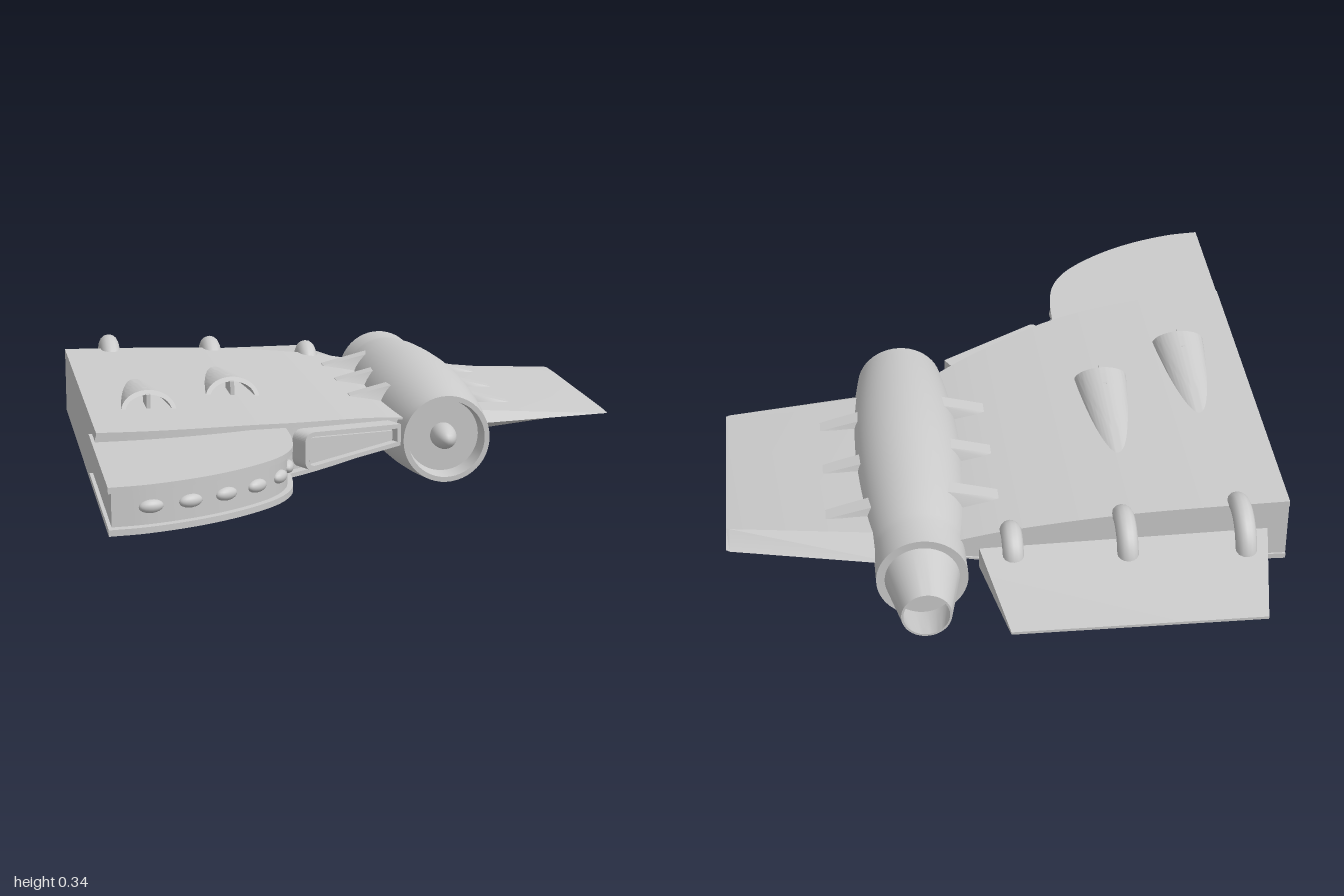
import * as THREE from 'three';
import { toCreasedNormals } from 'three/addons/utils/BufferGeometryUtils.js';

const material = new THREE.MeshStandardMaterial({ color: 0xcccccc, side: THREE.DoubleSide });
const MID = 0.195; // height of the wing's middle plane

export function createModel() {
  const model = new THREE.Group();

  const add = (name, geometry, parent = model) => {
    const mesh = new THREE.Mesh(geometry, material);
    mesh.name = name;
    parent.add(mesh);
    return mesh;
  };

  // Solid through rings of [x, y, z] corners, rings running towards +x,
  // corners running top back, top front, bottom front, bottom back
  const loft = (rings, crease = 0.5) => {
    const pos = [];
    const tri = (a, b, c) => pos.push(...a, ...b, ...c);
    const n = rings[0].length;
    const last = rings[rings.length - 1];
    for (let i = 0; i < rings.length - 1; i++) {
      for (let j = 0; j < n; j++) {
        const k = (j + 1) % n;
        tri(rings[i][j], rings[i][k], rings[i + 1][k]);
        tri(rings[i][j], rings[i + 1][k], rings[i + 1][j]);
      }
    }
    for (let j = 1; j < n - 1; j++) {
      tri(rings[0][0], rings[0][j + 1], rings[0][j]);
      tri(last[0], last[j], last[j + 1]);
    }
    const g = new THREE.BufferGeometry();
    g.setAttribute('position', new THREE.Float32BufferAttribute(pos, 3));
    return toCreasedNormals(g, crease);
  };

  // Main wing: two curved skins over a recessed core
  const edge = new THREE.SplineCurve([
    [-0.79, 0.545], [-0.65, 0.54], [-0.5, 0.52], [-0.35, 0.485],
    [-0.2, 0.435], [0, 0.33], [0.13, 0.255], [0.2, 0.21],
  ].map(p => new THREE.Vector2(...p)));
  const thickness = new THREE.SplineCurve([
    [-0.79, 0.1], [-0.35, 0.088], [0, 0.056], [0.2, 0.02],
  ].map(p => new THREE.Vector2(...p)));
  const halfHeight = x => {
    let t = (x + 0.79) / 0.99;
    for (let i = 0; i < 8; i++) t -= (thickness.getPoint(t).x - x) / 1.1;
    return thickness.getPoint(Math.min(1, Math.max(0, t))).y;
  };
  const wingLayer = (inset, low, high) => {
    const rings = [];
    for (let i = 0; i <= 28; i++) {
      const p = edge.getPoint(i / 28);
      const h = halfHeight(p.x);
      const [yl, yh] = [MID + low(h), MID + high(h)];
      const [zb, zf] = [-0.615 + inset * 0.15, p.y - inset];
      rings.push([[p.x, yh, zb], [p.x, yh, zf], [p.x, yl, zf], [p.x, yl, zb]]);
    }
    return loft(rings);
  };
  add('upperWingSkin', wingLayer(0, h => h * 0.84, h => h));
  add('lowerWingSkin', wingLayer(0, h => -h, h => -h * 0.84));
  add('wingCore', wingLayer(0.035, h => -h * 0.84, h => h * 0.84));

  // Rounded nose shelf: two plates, a recessed wall and a row of oval lamps
  const nosePath = new THREE.CatmullRomCurve3([
    [-0.8, 0.997], [-0.7, 0.985], [-0.55, 0.935], [-0.42, 0.86],
    [-0.32, 0.77], [-0.27, 0.68], [-0.25, 0.57], [-0.245, 0.41],
  ].map(([x, z]) => new THREE.Vector3(x, 0, z)));
  const noseSlab = (scale, y, depth, dx = 0) => {
    const pts = nosePath.getPoints(40).map(p =>
      new THREE.Vector2(-0.8 + (p.x + 0.8) * scale + dx, -(0.41 + (p.z - 0.41) * scale)));
    pts.push(new THREE.Vector2(-0.8 + dx, -0.41));
    const g = new THREE.ExtrudeGeometry(new THREE.Shape(pts), { depth, bevelEnabled: false });
    return toCreasedNormals(g.rotateX(-Math.PI / 2).translate(0, y, 0), 0.5);
  };
  add('upperNosePlate', noseSlab(1, 0.243, 0.017));
  add('lowerNosePlate', noseSlab(1, 0.13, 0.017));
  add('noseWall', noseSlab(0.955, 0.14, 0.11, 0.01));
  const lamps = new THREE.Group();
  lamps.name = 'noseLamps';
  model.add(lamps);
  for (let i = 0; i < 6; i++) {
    const u = 0.12 + i * 0.128;
    const p = nosePath.getPointAt(u);
    const t = nosePath.getTangentAt(u);
    const lamp = add('noseLamp', new THREE.SphereGeometry(1, 20, 12), lamps);
    lamp.scale.set(0.034, 0.018, 0.018);
    lamp.position.set(-0.79 + (p.x + 0.8) * 0.955, MID, 0.41 + (p.z - 0.41) * 0.955);
    lamp.rotation.y = Math.atan2(-t.z, t.x);
  }

  // Tapered intake frame on the slanted leading edge
  const intake = new THREE.Group();
  intake.name = 'intake';
  intake.position.set(-0.225, MID, 0.43);
  intake.rotation.y = 0.477;
  model.add(intake);
  const taper = (inset, Type) => {
    const s = new Type();
    const [x0, x1, a, b] = [inset, 0.35 - inset, 0.055 - inset, 0.032 - inset];
    const r = a * 0.6;
    s.moveTo(x0 + r, -a);
    s.lineTo(x1, -b);
    s.lineTo(x1, b);
    s.lineTo(x0 + r, a);
    s.quadraticCurveTo(x0, a, x0, a - r);
    s.lineTo(x0, r - a);
    s.quadraticCurveTo(x0, -a, x0 + r, -a);
    return s;
  };
  const frame = taper(0, THREE.Shape);
  frame.holes.push(taper(0.012, THREE.Path));
  add('intakeFrame', new THREE.ExtrudeGeometry(frame, { depth: 0.06, bevelEnabled: false }), intake);
  add('intakeBack', new THREE.ExtrudeGeometry(taper(0.004, THREE.Shape), { depth: 0.035, bevelEnabled: false }), intake);
  add('intakeInsert', new THREE.ExtrudeGeometry(taper(0.02, THREE.Shape), { depth: 0.046, bevelEnabled: false }), intake);

  // Engine: barrel body, hollow nozzle and a hub in the front opening
  const engine = new THREE.Group();
  engine.name = 'engine';
  engine.position.set(0.258, 0.168, 0);
  model.add(engine);
  const turned = pts => toCreasedNormals(
    new THREE.LatheGeometry(pts.map(p => new THREE.Vector2(...p)), 48).rotateX(Math.PI / 2), 0.5);
  const barrel = new THREE.SplineCurve([
    [0.129, -0.6], [0.147, -0.47], [0.16, -0.3], [0.165, -0.14], [0.16, 0.02], [0.147, 0.17], [0.13, 0.295],
  ].map(p => new THREE.Vector2(...p))).getPoints(24).map(p => [p.x, p.y]);
  add('engineBody', turned([
    [0, -0.7], [0.129, -0.705], ...barrel, [0.115, 0.295], [0.108, 0.24], [0, 0.24],
  ]), engine);
  add('engineNozzle', turned([[0, -0.74], [0.09, -0.74], [0.064, -0.87], [0.07, -0.87], [0.106, -0.7]]), engine);
  const hub = add('engineHub', new THREE.SphereGeometry(0.038, 24, 16), engine);
  hub.scale.z = 2;
  hub.position.z = 0.245;

  // Outer wing, thinning towards its tip
  const outerRing = (x, back, front, h, y) => [
    [x, y + h, back + 0.1], [x, y + h, front - 0.06], [x, y, front],
    [x, y - h, front - 0.06], [x, y - h, back + 0.1], [x, y, back],
  ];
  add('outerWing', loft([
    outerRing(0.3, -0.665, 0.214, 0.036, 0.188),
    outerRing(0.79, -0.553, 0.137, 0.005, 0.186),
    outerRing(0.8, -0.545, 0.13, 0.002, 0.186),
  ], 0.3));

  // Tapered braces joining the engine to both wings
  const braceRing = (x, z, base, top, w) => [
    [x, top, z - w * 0.7], [x, top, z + w * 0.7], [x, base, z + w], [x, base, z - w],
  ];
  for (const z of [-0.435, -0.21, 0.012]) {
    add('innerBrace', loft([
      braceRing(0.02, z, 0.235, 0.25, 0.03), braceRing(0.17, z, 0.2, 0.285, 0.038),
    ]));
    add('outerBrace', loft([
      braceRing(0.36, z, 0.19, 0.25, 0.038),
      braceRing(0.47, z, 0.19, 0.222, 0.034),
      braceRing(0.55, z, 0.19, 0.2, 0.03),
    ]));
  }

  // Rear flap, wedge shaped, with its ring hinges
  const flapRing = (xFront, xBack, h) => [
    [xBack, MID + 0.004, -1], [xFront, MID + h, -0.66], [xFront, MID + h * 0.7, -0.648],
    [xFront, MID - h * 0.7, -0.648], [xFront, MID - h, -0.66], [xBack, MID - 0.004, -1],
  ];
  add('rearFlap', loft([flapRing(-0.72, -0.66, 0.045), flapRing(0.095, 0.04, 0.032)], 0.3));
  for (const [x, r] of [[-0.645, 0.13], [-0.315, 0.113], [0.003, 0.087]]) {
    const hinge = add('flapHinge', new THREE.TorusGeometry(r - 0.03, 0.03, 14, 40));
    hinge.rotation.y = Math.PI / 2;
    hinge.position.set(x, 0.2, -0.643);
  }

  // Arched fairings that sink into the upper skin towards the rear
  for (const [x, front] of [[-0.615, 0.27], [-0.348, 0.1]]) {
    const arch = new THREE.Shape();
    arch.absellipse(0, 0, 0.08, 0.058, 0, Math.PI, false);
    arch.lineTo(-0.067, 0);
    arch.absellipse(0, 0, 0.067, 0.045, Math.PI, 0, true);
    const g = new THREE.ExtrudeGeometry(arch, { depth: 0.5, steps: 12, curveSegments: 20, bevelEnabled: false });
    const p = g.attributes.position;
    for (let i = 0; i < p.count; i++) {
      const t = 1 - p.getZ(i) / 0.5;
      p.setXYZ(i, p.getX(i) * (1 - 0.4 * t), p.getY(i) * (1 - 0.2 * t) - 0.05 * t,
        p.getZ(i) - 0.5 - p.getY(i) * 0.5 * (1 - t));
    }
    const y = MID + halfHeight(x) - 0.008;
    add('fairing', toCreasedNormals(g, 0.6)).position.set(x, y, front);
    add('fairingDivider', new THREE.BoxGeometry(0.012, 0.05, 0.1)).position.set(x, y + 0.024, front - 0.055);
  }

  return model;
}
